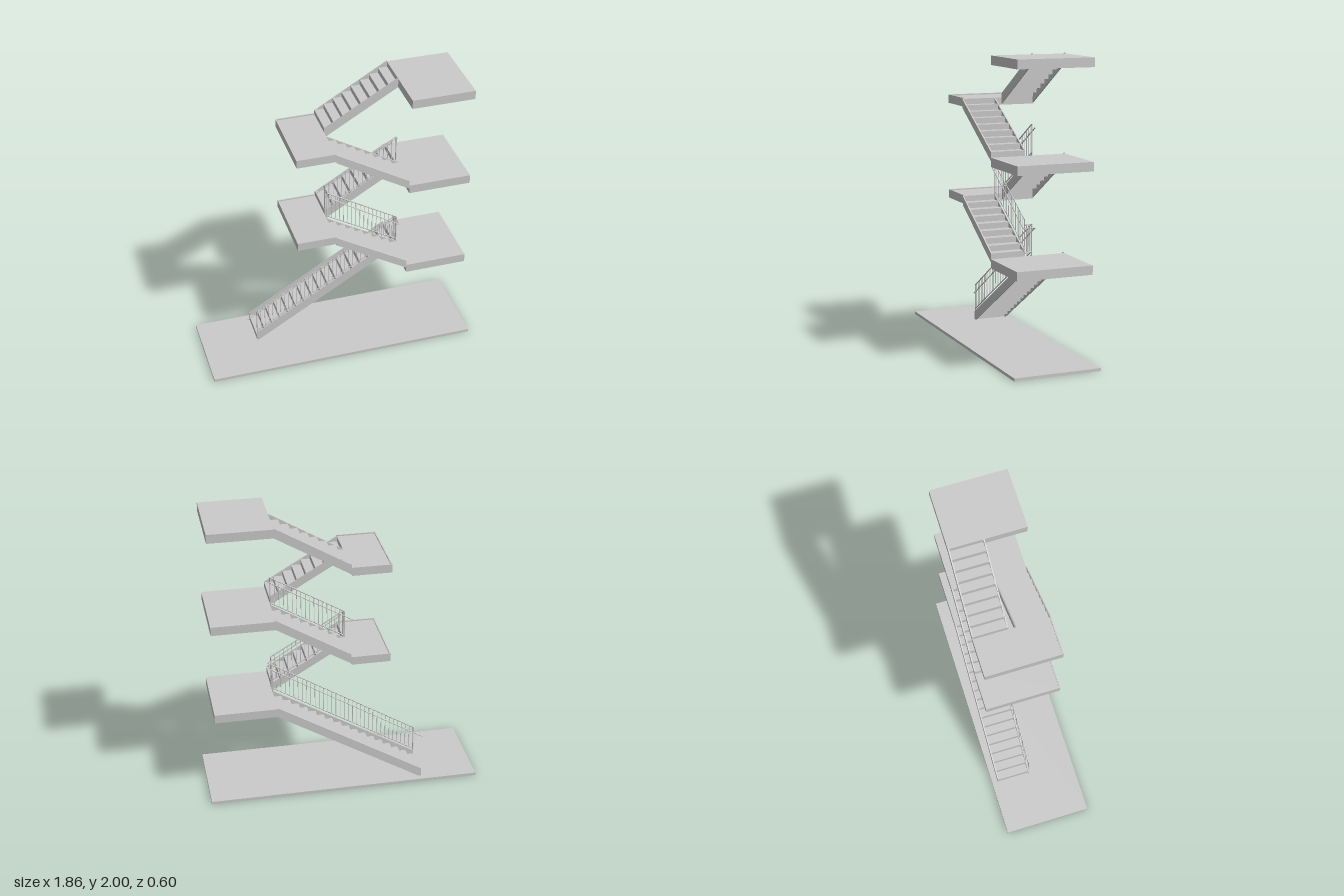
import * as THREE from 'three';

const mat = new THREE.MeshStandardMaterial({ color: 0xcccccc, flatShading: true });
const INNER = 0.022, OUTER = 0.26, RIGHT = 0.455, LEFT = -0.045;

function add(parent, name, geometry) {
  const mesh = new THREE.Mesh(geometry, mat);
  mesh.name = name;
  parent.add(mesh);
  return mesh;
}

// Box given by its limits on each axis
function box(parent, name, x0, x1, y0, y1, z0, z1) {
  add(parent, name, new THREE.BoxGeometry(x1 - x0, y1 - y0, z1 - z0))
    .position.set((x0 + x1) / 2, (y0 + y1) / 2, (z0 + z1) / 2);
}

// Round bar between two points
function bar(parent, name, a, b, radius, sides = 6) {
  const from = new THREE.Vector3(...a), to = new THREE.Vector3(...b);
  const dir = to.clone().sub(from);
  const mesh = add(parent, name, new THREE.CylinderGeometry(radius, radius, dir.length(), sides));
  mesh.position.copy(from).add(to).multiplyScalar(0.5);
  mesh.quaternion.setFromUnitVectors(new THREE.Vector3(0, 1, 0), dir.normalize());
}

// Side profile extruded from z0 to z1
function plate(parent, name, points, z0, z1) {
  const shape = new THREE.Shape(points.map(([x, y]) => new THREE.Vector2(x, y)));
  const geometry = new THREE.ExtrudeGeometry(shape, { depth: z1 - z0, bevelEnabled: false });
  add(parent, name, geometry).position.z = z0;
}

// Folded steps between two sloping stringers; side is -1 (back) or 1 (front)
function flight(name, { x0, y0, x1, y1, risers, side, lift, depth }) {
  const group = new THREE.Group();
  group.name = name;
  const zMin = side > 0 ? INNER : -OUTER, zMax = side > 0 ? OUTER : -INNER;
  const run = (x1 - x0) / (risers - 1), rise = (y1 - y0) / risers;
  const t = 0.005, back = Math.sign(run) * t;

  const top = [], under = [];
  for (let i = 0; i < risers; i++) {
    const x = x0 + i * run, y = y0 + i * rise;
    top.push([x, y], [x, y + rise]);
    under.push([x + back, y - (i ? t : 0)], [x + back, y + rise - t]);
  }
  plate(group, 'steps', [...top, ...under.reverse()], zMin + 0.004, zMax - 0.004);

  const [low, high] = lift;
  const outline = [[x0, y0 + low], [x1, y1 + high], [x1, y1 + high - depth], [x0, y0 + low - depth]];
  plate(group, 'stringer', outline, zMin, zMin + 0.008);
  plate(group, 'stringer', outline, zMax - 0.008, zMax);
  return group;
}

// Sloping balustrade: a and b are [x, bottom y, top y] at its ends
function balustrade(name, a, b, z, count) {
  const group = new THREE.Group();
  group.name = name;
  const at = (u, k) => a[k] + (b[k] - a[k]) * u;
  for (const k of [1, 2]) bar(group, 'rail', [a[0], a[k], z], [b[0], b[k], z], 0.004);
  for (let i = 0; i <= count; i++) {
    const u = i / count, end = i === 0 || i === count, x = at(u, 0);
    const foot = at(u, 1) - (end ? 0.03 : 0);
    bar(group, end ? 'post' : 'baluster', [x, foot, z], [x, at(u, 2), z], end ? 0.004 : 0.0022);
  }
  // Brackets that carry the handrail
  for (const u of [0.08, 0.5, 0.92]) {
    const x = at(u, 0), y = at(u, 2) - 0.037;
    bar(group, 'bracket', [x, y, z], [x, y, z + Math.sign(z) * 0.017], 0.002);
  }
  return group;
}

function handrail(parent, points) {
  for (let i = 1; i < points.length; i++) bar(parent, 'handrail', points[i - 1], points[i], 0.004, 8);
}

export function createModel() {
  const model = new THREE.Group();
  model.name = 'staircase';

  box(model, 'base', -0.93, 0.93, 0, 0.02, -0.3, 0.3);

  // Solid main landings
  for (const y of [0.68, 1.34, 1.99]) box(model, 'mainLanding', RIGHT, 0.88, y - 0.06, y, -OUTER, OUTER);

  // Half landings: thin slab inside a raised rim
  for (const y of [1.025, 1.68]) {
    const landing = new THREE.Group();
    landing.name = 'halfLanding';
    const x = -0.31, w = 0.008, low = y - 0.057;
    box(landing, 'slab', x + w, LEFT, y - 0.045, y - 0.008, -OUTER + w, OUTER - w);
    box(landing, 'rim', x, x + w, low, y, -OUTER, OUTER);
    box(landing, 'rim', x + w, LEFT, low, y, -OUTER, -OUTER + w);
    box(landing, 'rim', x + w, LEFT, low, y, OUTER - w, OUTER);
    box(landing, 'rim', LEFT - w, LEFT, low, y - 0.008, -OUTER + w, OUTER - w);
    model.add(landing);
  }

  // Flights
  const up = { side: -1, risers: 9, x0: LEFT, x1: RIGHT, lift: [0.028, 0.007], depth: 0.068 };
  const turn = { side: 1, risers: 9, x0: RIGHT, x1: LEFT, lift: [0.037, 0], depth: 0.06 };
  model.add(
    flight('firstFlight', { ...up, x0: -0.545, y0: 0.02, y1: 0.68, risers: 18, lift: [0.06, 0.008], depth: 0.07 }),
    flight('secondFlight', { ...turn, y0: 0.68, y1: 1.017 }),
    flight('thirdFlight', { ...up, y0: 1.017, y1: 1.34 }),
    flight('fourthFlight', { ...turn, y0: 1.34, y1: 1.672 }),
    flight('fifthFlight', { ...up, y0: 1.672, y1: 1.99 }),
  );

  // Balustrades on the inner side of the lower three flights
  const z = 0.026, hz = 0.042;
  model.add(
    balustrade('firstBalustrade', [-0.541, 0.1, 0.275], [0.455, 0.71, 0.89], -z, 34),
    balustrade('secondBalustrade', [0.455, 0.74, 0.925], [-0.041, 1.035, 1.222], z, 17),
    balustrade('thirdBalustrade', [-0.041, 1.065, 1.25], [0.455, 1.36, 1.545], -z, 17),
  );

  // Short panel closing the gap at the first main landing
  const panel = new THREE.Group();
  panel.name = 'returnPanel';
  for (const y of [0.705, 0.89]) bar(panel, 'rail', [0.46, y, -z], [0.46, y, z], 0.004);
  for (const pz of [-0.013, 0, 0.013]) bar(panel, 'baluster', [0.46, 0.705, pz], [0.46, 0.89, pz], 0.0022);
  model.add(panel);

  // Handrails, the lower one wrapping round the turn
  handrail(model, [[-0.605, 0.2, -hz], [0.472, 0.868, -hz], [0.472, 0.868, hz], [-0.055, 1.203, hz]]);
  handrail(model, [[-0.095, 1.188, -hz], [0.47, 1.522, -hz]]);

  return model;
}
